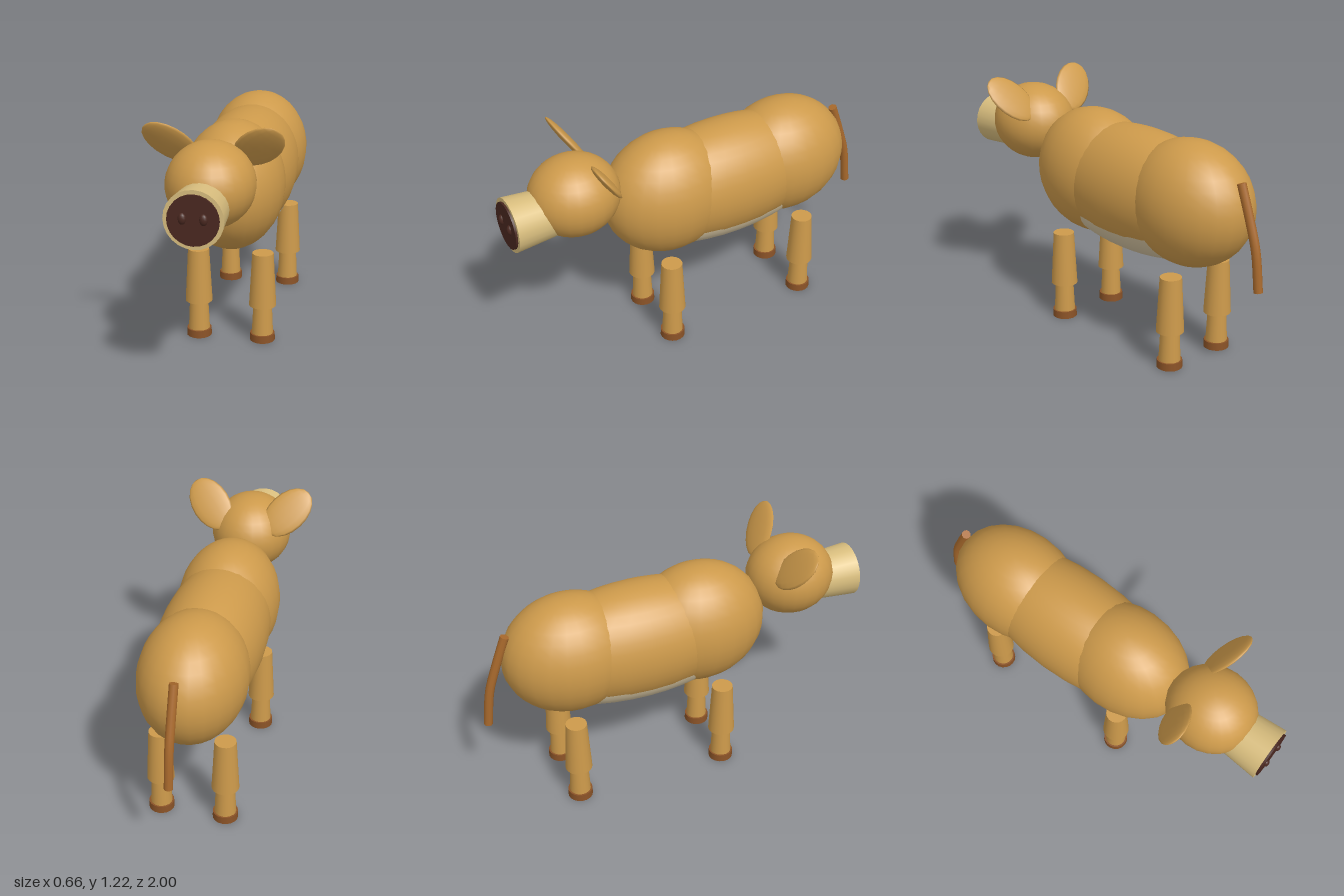
import * as THREE from 'three';

const paint = (name, color) => {
  const m = new THREE.MeshStandardMaterial({ color });
  m.name = name;
  return m;
};

export function createModel() {
  const coat = paint('tan coat', 0xcd9a4b);
  const cream = paint('cream muzzle', 0xd9be7e);
  const pale = paint('pale belly', 0xd4c3a0);
  const dark = paint('dark nose', 0x4a2820);
  const hoofBrown = paint('hoof brown', 0x8b5327);
  const tailBrown = paint('tail brown', 0xa8692c);

  const model = new THREE.Group();
  model.name = 'animal';

  const add = (name, geometry, material, pos = [0, 0, 0], parent = model) => {
    const mesh = new THREE.Mesh(geometry, material);
    mesh.name = name;
    mesh.position.set(...pos);
    parent.add(mesh);
    return mesh;
  };
  const ellipsoid = (name, material, pos, radii, seg = 24, parent = model) => {
    const geometry = new THREE.SphereGeometry(1, seg, Math.round(seg * 0.7));
    geometry.scale(...radii);
    return add(name, geometry, material, pos, parent);
  };

  // Body: three overlapping masses with a pale belly
  ellipsoid('chest', coat, [0, 0.79, 0.135], [0.255, 0.32, 0.342]);
  ellipsoid('barrel', coat, [0, 0.775, -0.19], [0.258, 0.305, 0.62], 28);
  ellipsoid('rump', coat, [0, 0.788, -0.54], [0.26, 0.308, 0.342]);
  ellipsoid('belly', pale, [0, 0.67, -0.19], [0.222, 0.215, 0.58], 28);

  // Head, muzzle and nose
  ellipsoid('head', coat, [0, 0.945, 0.635], [0.207, 0.2, 0.225]);
  const muzzle = new THREE.CylinderGeometry(0.135, 0.117, 0.225, 24);
  muzzle.rotateX(Math.PI / 2);
  add('muzzle', muzzle, cream, [0, 0.89, 0.8625]);
  const nose = new THREE.CylinderGeometry(0.116, 0.116, 0.02, 24);
  nose.rotateX(Math.PI / 2);
  add('nose', nose, dark, [0, 0.89, 0.975]);

  for (const side of [-1, 1]) {
    ellipsoid('nostril', dark, [side * 0.047, 0.897, 0.983], [0.019, 0.027, 0.017], 12);

    // Flat ear, splayed outward and leaning forward
    const ear = new THREE.Group();
    ear.name = side > 0 ? 'leftEar' : 'rightEar';
    ear.position.set(side * 0.205, 1.108, 0.56);
    ear.rotation.x = 0.59;
    model.add(ear);
    ellipsoid('earFlap', coat, [0, 0, 0], [0.1, 0.15, 0.02], 14, ear)
      .rotation.z = -side * 0.7;

    // Legs
    for (const z of [0.205, -0.58]) {
      const leg = new THREE.Group();
      leg.name = (z > 0 ? 'front' : 'hind') + (side > 0 ? 'LeftLeg' : 'RightLeg');
      leg.position.set(side * 0.163, 0, z);
      model.add(leg);
      add('upperLeg', new THREE.CylinderGeometry(0.053, 0.068, 0.277, 18), coat, [0, 0.3265, 0], leg);
      add('lowerLeg', new THREE.CylinderGeometry(0.046, 0.054, 0.17, 18), coat, [0, 0.115, 0], leg);
      add('hoof', new THREE.CylinderGeometry(0.062, 0.063, 0.038, 18), hoofBrown, [0, 0.019, 0], leg);
    }
  }

  // Tail with closed ends
  const path = new THREE.CatmullRomCurve3([
    [0.96, -0.853], [0.8, -0.91], [0.66, -0.953], [0.468, -0.978],
  ].map(([y, z]) => new THREE.Vector3(0, y, z)));
  add('tail', new THREE.TubeGeometry(path, 16, 0.022, 10), tailBrown);
  for (const t of [0, 1]) {
    const p = path.getPointAt(t);
    const outward = path.getTangentAt(t).multiplyScalar(t ? 1 : -1);
    const cap = add('tailEnd', new THREE.CircleGeometry(0.022, 10), tailBrown, p.toArray());
    cap.lookAt(p.clone().add(outward));
  }

  return model;
}
